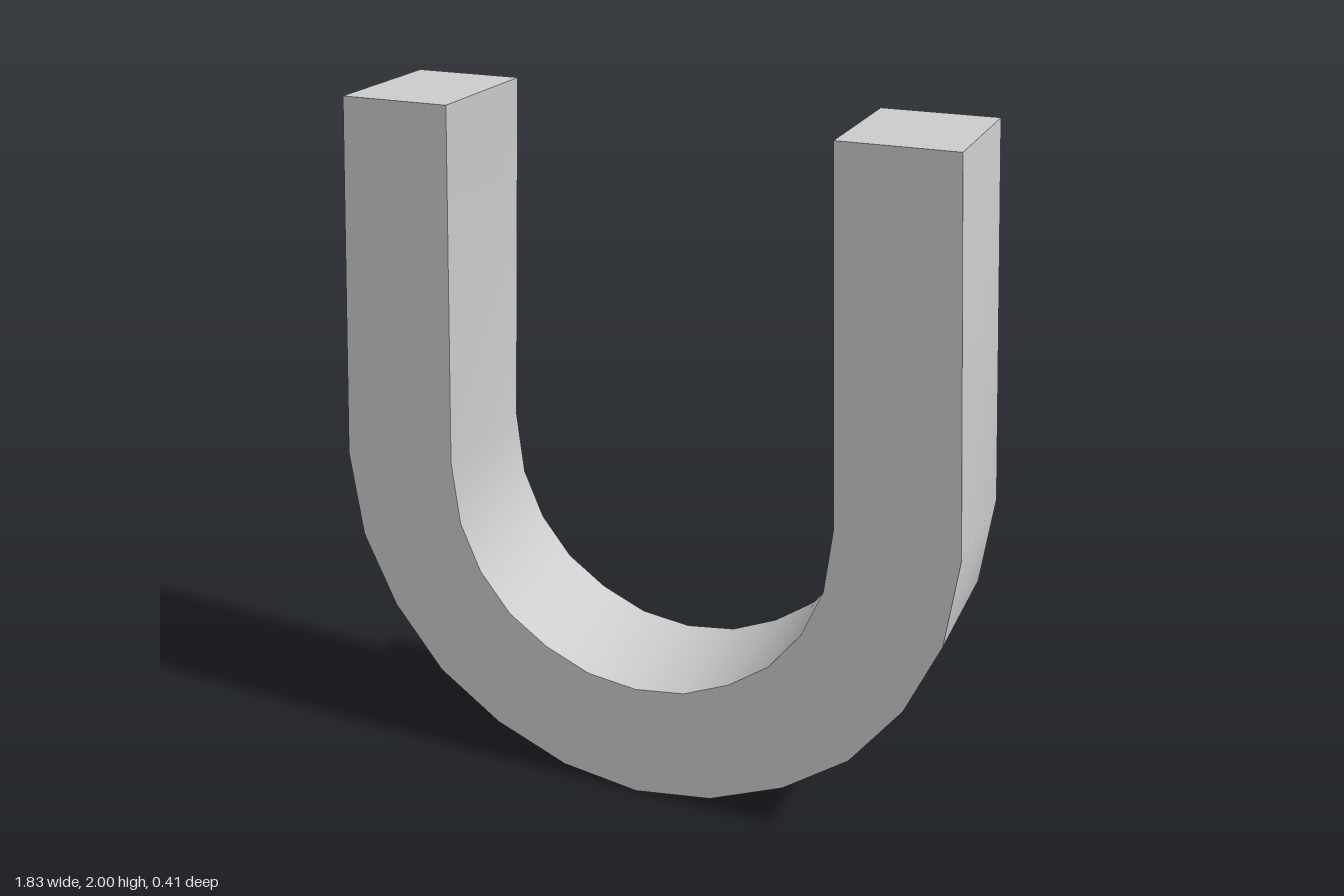
import * as THREE from 'three';
import { toCreasedNormals } from 'three/addons/utils/BufferGeometryUtils.js';

const DEPTH = 0.41;

// Right half of each curve, from the bottom centre up to the arm tip
const OUTER = [[0, 0], [0.235, 0.035], [0.455, 0.13], [0.645, 0.27], [0.79, 0.465], [0.885, 0.685], [0.917, 0.945], [0.845, 2]];
const INNER = [[0, 0.35], [0.15, 0.37], [0.285, 0.43], [0.402, 0.515], [0.493, 0.635], [0.552, 0.78], [0.573, 0.97], [0.53, 2]];

// Mirrors a half curve into a full one running from the left tip to the right tip
function mirrored(half) {
  const left = half.slice(1).reverse().map(([x, y]) => [-x, y]);
  return [...left, ...half].map(([x, y]) => new THREE.Vector2(x, y));
}

export function createModel() {
  const group = new THREE.Group();
  group.name = 'horseshoeMagnet';

  // U-shaped bar: along the outer curve, then back along the inner one
  const outline = new THREE.Shape([...mirrored(OUTER), ...mirrored(INNER).reverse()]);
  const bar = new THREE.ExtrudeGeometry(outline, { depth: DEPTH, bevelEnabled: false });
  bar.translate(0, 0, -DEPTH / 2);

  // Smooth curved walls, sharp edges at the flat faces and tips
  const mesh = new THREE.Mesh(
    toCreasedNormals(bar, 0.7),
    new THREE.MeshStandardMaterial({ color: 0xcccccc })
  );
  mesh.name = 'uShapedBar';
  group.add(mesh);
  return group;
}
